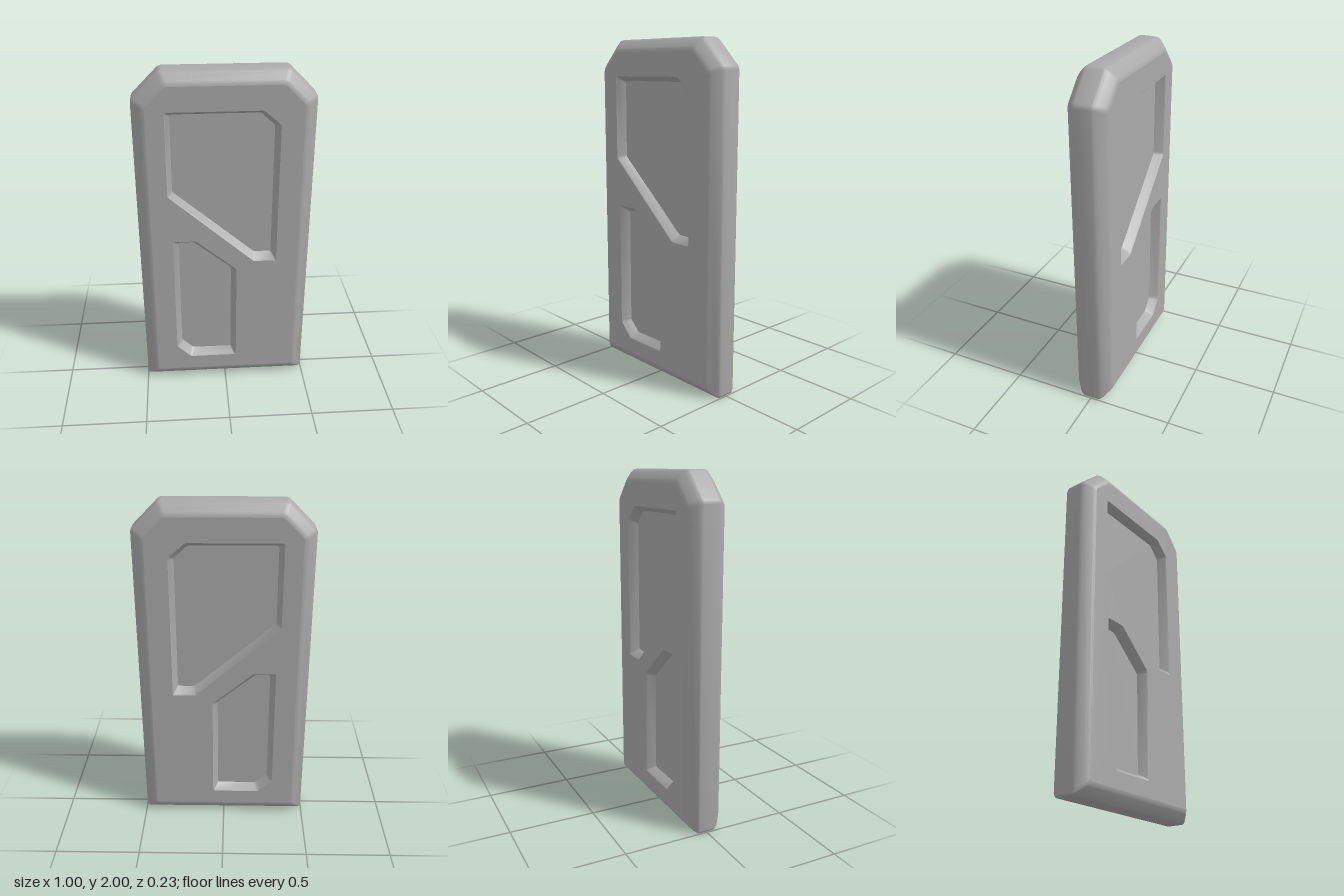
import * as THREE from 'three';
import { mergeGeometries, toCreasedNormals } from 'three/addons/utils/BufferGeometryUtils.js';

const HALF = 0.113;   // half thickness of the door
const PANEL = 0.06;   // half thickness at the recessed panels

// All outlines run counter-clockwise seen from the front.
const OUTLINE = [[-0.5, 0], [0.5, 0], [0.5, 1.845], [0.345, 2], [-0.345, 2], [-0.5, 1.845]];
const RECESSES = [
  {
    name: 'upperPanel',
    outer: [[0.167, 0.863], [0.3, 0.863], [0.3, 1.707], [0.204, 1.79], [-0.325, 1.79], [-0.325, 1.3]],
    inner: [[0.172, 0.9], [0.272, 0.9], [0.272, 1.69], [0.195, 1.762], [-0.298, 1.762], [-0.298, 1.308]],
  },
  {
    name: 'lowerPanel',
    outer: [[-0.22, 0.166], [0.066, 0.166], [0.066, 0.81], [-0.172, 1.01], [-0.304, 1.01], [-0.304, 0.25]],
    inner: [[-0.204, 0.197], [0.036, 0.197], [0.036, 0.795], [-0.186, 0.977], [-0.273, 0.977], [-0.273, 0.265]],
  },
];

const vectors = (list) => list.map(([x, y]) => new THREE.Vector2(x, y));

// Move every side of a polygon inwards by d, with mitred corners.
function inset(points, d) {
  const n = points.length;
  return points.map((p, i) => {
    const u = p.clone().sub(points[(i + n - 1) % n]).normalize();
    const v = points[(i + 1) % n].clone().sub(p).normalize();
    const a = new THREE.Vector2(-u.y, u.x);
    const b = new THREE.Vector2(-v.y, v.x);
    return p.clone().addScaledVector(a.clone().add(b), d / (1 + a.dot(b)));
  });
}

// Replace each corner by a short curve of four points.
function rounded(points, r) {
  const n = points.length;
  return points.flatMap((p, i) => {
    const toward = (q) => p.clone().addScaledVector(q.clone().sub(p).normalize(), r);
    const start = toward(points[(i + n - 1) % n]);
    const end = toward(points[(i + 1) % n]);
    return new THREE.QuadraticBezierCurve(start, p, end).getPoints(3);
  });
}

// Surface between successive loops, each { points, z }.
function loft(rings) {
  const pos = [], index = [];
  const n = rings[0].points.length;
  rings.forEach(({ points, z }) => points.forEach((p) => pos.push(p.x, p.y, z)));
  for (let k = 0; k < rings.length - 1; k++) {
    for (let i = 0; i < n; i++) {
      const a = k * n + i, b = k * n + (i + 1) % n;
      index.push(a, b, b + n, a, b + n, a + n);
    }
  }
  const g = new THREE.BufferGeometry();
  g.setAttribute('position', new THREE.Float32BufferAttribute(pos, 3));
  g.setIndex(index);
  return toCreasedNormals(g, 0.8);
}

// Flat face with optional holes, facing front (side 1) or back (side -1).
function face(points, z, side, holes = []) {
  const turn = (list) => list.map((p) => new THREE.Vector2(p.x * side, p.y));
  const shape = new THREE.Shape(turn(points));
  shape.holes = holes.map((h) => new THREE.Path(turn(h)));
  const g = new THREE.ShapeGeometry(shape);
  g.translate(0, 0, z);
  if (side < 0) g.rotateY(Math.PI);
  g.deleteAttribute('uv');
  return g.toNonIndexed();
}

export function createModel() {
  const group = new THREE.Group();
  group.name = 'door';
  const grey = new THREE.MeshStandardMaterial({ color: 0xaaaaaa });
  grey.name = 'doorGrey';
  const add = (name, geometry) => {
    const mesh = new THREE.Mesh(geometry, grey);
    mesh.name = name;
    group.add(mesh);
  };

  // Rim: softened chamfer around the slab, as [inset, z]
  const half = [[0, 0.045], [0.003, 0.056], [0.013, 0.07], [0.048, 0.102], [0.06, 0.11], [0.073, HALF]];
  const profile = [...half.map(([d, z]) => [d, -z]).reverse(), ...half];
  const outline = vectors(OUTLINE);
  const rings = profile.map(([d, z]) => ({ points: rounded(inset(outline, d), 0.016), z }));
  add('rim', loft(rings));

  // Front and back faces, pierced by the recess openings
  const openings = RECESSES.map((r) => rounded(vectors(r.outer), 0.01));
  const faceLoop = rings[0].points;
  add('frontFace', face(faceLoop, HALF, 1, openings));
  add('backFace', face(faceLoop, HALF, -1, openings));

  // Sloping recess walls and the thin panels inside them, on both sides
  RECESSES.forEach((recess, k) => {
    const outer = openings[k];
    const inner = rounded(vectors(recess.inner), 0.014);
    const lip = outer.map((p, i) => p.clone().lerp(inner[i], 0.22));
    const steps = [[outer, HALF], [lip, HALF - 0.007], [inner, PANEL]];
    const front = steps.map(([points, z]) => ({ points, z }));
    // Reversed order and mirrored depth keep the back walls facing outwards
    const back = steps.map(([points, z]) => ({ points: [...points].reverse(), z: -z }));
    add(recess.name + 'Walls', mergeGeometries([loft(front), loft(back)]));
    add(recess.name, mergeGeometries([face(inner, PANEL, 1), face(inner, PANEL, -1)]));
  });
  return group;
}
